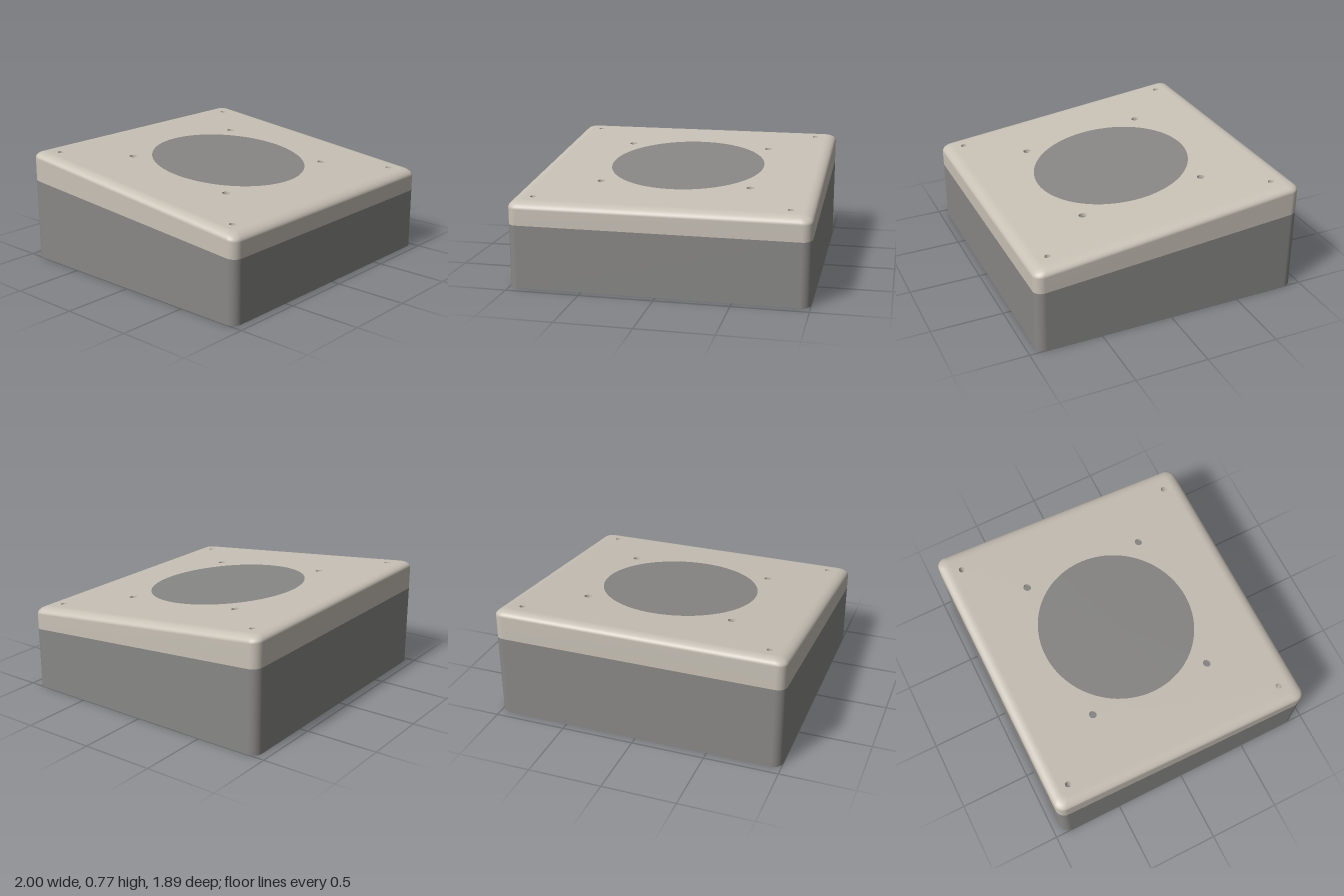
import * as THREE from 'three';

const HALF_W = 1, HALF_D = 0.943, CORNER = 0.065;

// Sloping planes of the lid surface and of the seam between lid and base
const topY = (z) => 0.682 - 0.106 * z;
const seamY = (z) => 0.502 - 0.077 * z;

// Rounded rectangle, counter-clockwise from above, as (x, -z) points
function outline(inset, radius) {
  const points = [];
  const steps = 8;
  const w = HALF_W - inset - radius, d = HALF_D - inset - radius;
  [[1, 1], [-1, 1], [-1, -1], [1, -1]].forEach(([sx, sy], corner) => {
    for (let i = 0; i <= steps; i++) {
      const a = (corner + i / steps) * Math.PI / 2;
      points.push(new THREE.Vector2(sx * w + radius * Math.cos(a), sy * d + radius * Math.sin(a)));
    }
  });
  return points;
}

// Wall through a stack of rings, each { points, y(z) }, from low to high
function loft(rings) {
  const positions = [], index = [];
  const n = rings[0].points.length;
  for (const { points, y } of rings) {
    for (const p of points) positions.push(p.x, y(-p.y), -p.y);
  }
  for (let r = 0; r < rings.length - 1; r++) {
    for (let i = 0; i < n; i++) {
      const a = r * n + i, b = r * n + (i + 1) % n;
      index.push(a, b, b + n, a, b + n, a + n);
    }
  }
  const geometry = new THREE.BufferGeometry();
  geometry.setAttribute('position', new THREE.Float32BufferAttribute(positions, 3));
  geometry.setIndex(index);
  geometry.computeVertexNormals();
  return geometry;
}

// Lifts a level geometry onto the sloping lid plane
function drape(geometry, offset = 0) {
  const p = geometry.attributes.position;
  for (let i = 0; i < p.count; i++) p.setY(i, p.getY(i) + topY(p.getZ(i)) + offset);
  geometry.computeVertexNormals();
  return geometry;
}

function disc(x, z, radius, offset, segments) {
  return drape(new THREE.CircleGeometry(radius, segments).rotateX(-Math.PI / 2).translate(x, 0, z), offset);
}

export function createModel() {
  const model = new THREE.Group();
  model.name = 'slopedEnclosure';
  const lidMaterial = new THREE.MeshStandardMaterial({ color: 0xc8c1b6 });
  lidMaterial.name = 'warm beige';
  const baseMaterial = new THREE.MeshStandardMaterial({ color: 0x888785 });
  baseMaterial.name = 'mid grey';

  function add(parent, name, geometry, material) {
    const mesh = new THREE.Mesh(geometry, material);
    mesh.name = name;
    parent.add(mesh);
  }

  // Base: straight walls up to the sloping seam, flat underside
  const base = new THREE.Group();
  base.name = 'base';
  model.add(base);
  const outer = outline(0, CORNER);
  add(base, 'baseWalls', loft([{ points: outer, y: () => 0 }, { points: outer, y: seamY }]), baseMaterial);
  const underside = new THREE.ShapeGeometry(new THREE.Shape(outer)).rotateX(Math.PI / 2);
  add(base, 'underside', underside, baseMaterial);

  // Lid: walls with a softly rounded upper edge
  const lid = new THREE.Group();
  lid.name = 'lid';
  model.add(lid);
  const drop = 0.045, inset = 0.075, steps = 10;
  const rings = [{ points: outer, y: seamY }];
  for (let i = 0; i <= steps; i++) {
    const a = i / steps * Math.PI / 2;
    const t = 1 - Math.cos(a);
    rings.push({
      points: outline(inset * t, CORNER - 0.035 * t),
      y: (z) => topY(z) - drop * (1 - Math.sin(a)),
    });
  }
  add(lid, 'lidWalls', loft(rings), lidMaterial);

  // Screw holes: shallow ones around the disc, deep ones in the corners
  const holes = [];
  for (const sz of [-1, 1]) {
    for (const sx of [-1, 1]) {
      holes.push({ x: 0.018 + sx * 0.517, z: -0.007 + sz * 0.438, radius: 0.026, depth: 0.02 });
      holes.push({ x: -0.005 + sx * 0.853, z: sz * 0.802, radius: 0.02, depth: 0.14 });
    }
  }

  // Top panel pierced by the holes
  const panel = new THREE.Shape(rings[rings.length - 1].points);
  for (const { x, z, radius } of holes) {
    panel.holes.push(new THREE.Path().absarc(x, -z, radius, 0, Math.PI * 2, true));
  }
  add(lid, 'topPanel', drape(new THREE.ShapeGeometry(panel, 12).rotateX(-Math.PI / 2)), lidMaterial);

  // Inward-facing hole walls and grey hole floors
  for (const { x, z, radius, depth } of holes) {
    const profile = [new THREE.Vector2(radius, 0), new THREE.Vector2(radius, -depth)];
    const wall = new THREE.LatheGeometry(profile, 24).translate(x, 0, z);
    add(lid, 'holeWall', drape(wall), lidMaterial);
    add(lid, 'holeFloor', disc(x, z, radius, -depth, 24), baseMaterial);
  }

  // Large round face flush with the lid
  add(model, 'roundFace', disc(0.018, -0.007, 0.543, 0.002, 96), baseMaterial);

  return model;
}
